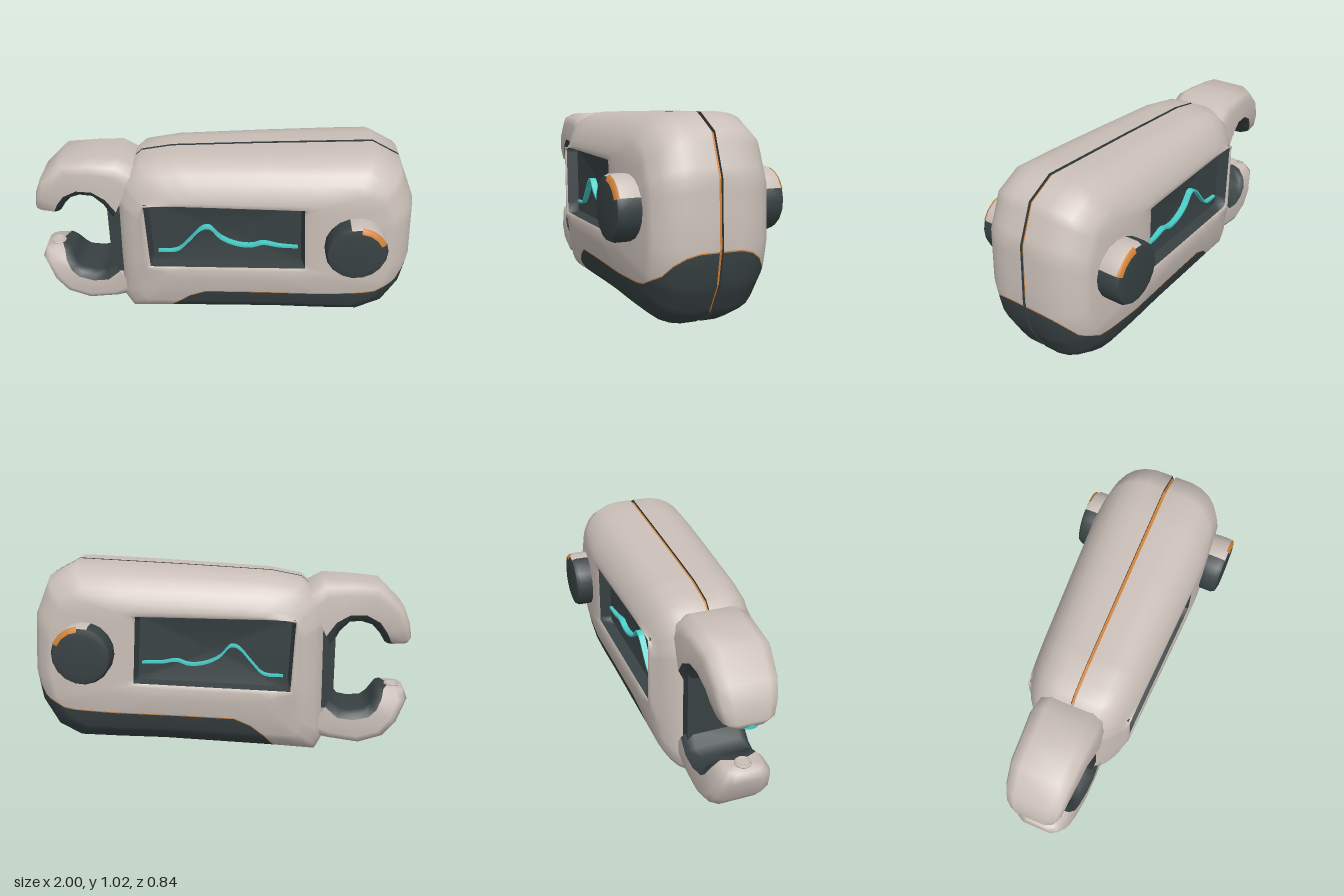
import * as THREE from 'three';

const mat = (name, color) => {
  const m = new THREE.MeshStandardMaterial({ color, side: THREE.DoubleSide });
  m.name = name;
  return m;
};

// Surface through rows of points; columns may wrap round
function loft(rows, closed = true, flat = false) {
  const n = rows[0].length, index = [];
  for (let i = 0; i < rows.length - 1; i++)
    for (let j = 0; j < (closed ? n : n - 1); j++) {
      const k = (j + 1) % n, a = i * n + j, b = i * n + k, c = a + n, d = b + n;
      index.push(a, b, c, b, d, c);
    }
  let g = new THREE.BufferGeometry().setFromPoints(rows.flat());
  g.setIndex(index);
  if (flat) g = g.toNonIndexed();
  g.computeVertexNormals();
  return g;
}

// Cut a surface along f = 0, giving [below, above]
function split(geometry, f) {
  const g = geometry.index ? geometry.toNonIndexed() : geometry;
  const P = g.attributes.position, N = g.attributes.normal;
  return [-1, 1].map(side => {
    const pos = [], nor = [];
    for (let t = 0; t < P.count; t += 3) {
      const poly = [], v = [0, 1, 2].map(k => {
        const p = new THREE.Vector3().fromBufferAttribute(P, t + k);
        return { p, n: new THREE.Vector3().fromBufferAttribute(N, t + k), f: f(p) * side };
      });
      v.forEach((a, k) => {
        const b = v[(k + 1) % 3];
        if (a.f >= 0) poly.push(a);
        if ((a.f >= 0) !== (b.f >= 0)) {
          const s = a.f / (a.f - b.f);
          poly.push({ p: a.p.clone().lerp(b.p, s), n: a.n.clone().lerp(b.n, s).normalize() });
        }
      });
      for (let k = 1; k + 1 < poly.length; k++)
        for (const q of [poly[0], poly[k], poly[k + 1]]) { pos.push(...q.p); nor.push(...q.n); }
    }
    const out = new THREE.BufferGeometry();
    out.setAttribute('position', new THREE.Float32BufferAttribute(pos, 3));
    out.setAttribute('normal', new THREE.Float32BufferAttribute(nor, 3));
    return out;
  });
}

// Mirror front to back, keeping faces outward
function mirrorZ(geometry) {
  const g = geometry.index ? geometry.toNonIndexed() : geometry.clone();
  g.scale(1, 1, -1);
  for (const a of Object.values(g.attributes)) {
    const s = a.itemSize, r = a.array;
    for (let t = 0; t < r.length; t += 3 * s)
      for (let k = 0; k < s; k++) [r[t + s + k], r[t + 2 * s + k]] = [r[t + 2 * s + k], r[t + s + k]];
  }
  return g;
}

const V = (x, y, z) => new THREE.Vector3(x, y, z);
const CENTRE = [0.03, 0.59];
const OUTLINE = [[-0.56, 0.08], [-0.52, 0], [-0.3, 0.015], [0.3, 0.05], [0.78, 0.06], [0.9, 0.13], [0.975, 0.28],
  [1, 0.45], [0.98, 0.76], [0.9, 0.95], [0.76, 1.025], [0.2, 1], [-0.26, 0.975], [-0.42, 0.945], [-0.51, 0.86], [-0.55, 0.75]];
const SCREEN = [[-0.39, 0.77], [-0.37, 0.39], [0.44, 0.43], [0.42, 0.785]];

// Where a ray from the screen centre meets a closed outline
function hit(poly, angle) {
  const dx = Math.cos(angle), dy = Math.sin(angle);
  let best = 0;
  poly.forEach(([ax, ay], i) => {
    const [bx, by] = poly[(i + 1) % poly.length];
    const ex = bx - ax, ey = by - ay, px = ax - CENTRE[0], py = ay - CENTRE[1];
    const den = dx * ey - dy * ex, r = (px * ey - py * ex) / den, u = (px * dy - py * dx) / den;
    if (u > -1e-6 && u < 1 + 1e-6 && r > best) best = r;
  });
  return [CENTRE[0] + dx * best, CENTRE[1] + dy * best];
}

const depthScale = (x, y) =>
  (0.85 + 0.15 * THREE.MathUtils.clamp((x + 0.5) / 1.05, 0, 1)) * (1 - 0.35 * Math.max(0, 0.35 - y));

// Upper edge of the dark grip, as height over x
const GRIP = [[-0.36, -0.1], [-0.31, 0.01], [-0.24, 0.12], [-0.17, 0.185], [-0.08, 0.23], [0.2, 0.245], [0.8, 0.27], [0.92, 0.33], [1.01, 0.45]];
function gripEdge(p) {
  let i = 0;
  while (i < GRIP.length - 2 && p.x > GRIP[i + 1][0]) i++;
  const [a, b] = [GRIP[i], GRIP[i + 1]];
  return p.y - (a[1] + (p.x - a[0]) / (b[0] - a[0]) * (b[1] - a[1]));
}

export function createModel() {
  const model = new THREE.Group();
  model.name = 'handheldClampMeter';
  const shell = mat('warm grey shell', 0xcabfb8), dark = mat('charcoal', 0x384143);
  const orange = mat('orange accent', 0xd08136), teal = mat('teal trace', 0x48cbc6);
  const add = (name, g, m) => {
    const mesh = new THREE.Mesh(g, m);
    mesh.name = name;
    model.add(mesh);
  };
  const both = (name, g, m) => { add(name + 'Front', g, m); add(name + 'Back', mirrorZ(g), m); };

  // Ray angles: all corners first, then even filling
  const angleOf = ([x, y]) => (Math.atan2(y - CENTRE[1], x - CENTRE[0]) + 2 * Math.PI) % (2 * Math.PI);
  const angles = [];
  for (const a of [...SCREEN.map(angleOf), ...OUTLINE.map(angleOf), ...Array.from({ length: 56 }, (_, i) => i * Math.PI / 28)])
    if (angles.every(b => Math.abs(a - b) > 0.035)) angles.push(a);
  angles.sort((a, b) => a - b);

  const outer = angles.map(a => hit(OUTLINE, a)), rim = angles.map(a => hit(SCREEN, a));
  const inset = ([x, y], d) => [0.22 + (x - 0.22) * (1 - d / 0.78), 0.51 + (y - 0.51) * (1 - d / 0.51)];
  const place = ([x, y], z) => V(x, y, z * depthScale(x, y));
  const ring = (d, z) => outer.map(p => place(inset(p, d), z));
  const edge = outer.map(p => inset(p, 0.13));
  const toRim = (t, z) => edge.map(([x, y], i) => place([x + (rim[i][0] - x) * t, y + (rim[i][1] - y) * t], z));

  // Body halves with grip and its accent line
  const half = loft([ring(0, 0.009), ring(0, 0.1), ring(0.01, 0.16), ring(0.03, 0.21), ring(0.06, 0.25),
    ring(0.1, 0.282), ring(0.13, 0.298), toRim(0.35, 0.314), toRim(0.7, 0.322), toRim(0.92, 0.322), toRim(1, 0.312)]);
  const [grip, rest] = split(half, gripEdge);
  const [line, body] = split(rest, p => gripEdge(p) - 0.005);
  both('bodyShell', body, shell);
  both('grip', grip, dark);
  both('gripLine', line, orange);

  // Centre groove with accent core
  both('grooveWall', loft([ring(0.02, 0.009), ring(0, 0.009)]), dark);
  const core = new THREE.Shape(outer.map(p => new THREE.Vector2(...inset(p, 0.013))));
  add('seamCore', new THREE.ExtrudeGeometry(core, { depth: 0.016, bevelEnabled: false }).translate(0, 0, -0.008), orange);

  // Recessed screens
  const dish = (s, drop) => rim.map(([x, y]) => {
    const p = place([CENTRE[0] + (x - CENTRE[0]) * s, CENTRE[1] + (y - CENTRE[1]) * s], 0.312);
    p.z -= drop;
    return p;
  });
  both('screenWall', loft([dish(1, 0), dish(0.96, 0.06)]), dark);
  both('screenFloor', loft([dish(0.96, 0.06), dish(0.5, 0.075), dish(0, 0.08)]), dark);

  // Waveform ribbon
  const wave = new THREE.CatmullRomCurve3([[-0.33, 0.46], [-0.23, 0.47], [-0.17, 0.53], [-0.1, 0.61], [-0.06, 0.62], [0, 0.56],
    [0.08, 0.525], [0.16, 0.52], [0.22, 0.54], [0.3, 0.53], [0.4, 0.53]].map(([x, y]) => V(x, y, 0)));
  both('waveform', loft(wave.getPoints(44).map(({ x, y }) => {
    const z = 0.312 * depthScale(x, y) - 0.08;
    return [[1, 0], [1, 0.035], [-1, 0.035], [-1, 0]].map(([s, dz]) => V(x, y + s * 0.006, z + dz));
  }), true, true), teal);

  // Knobs: dark rim, pale sector and accent arc
  const turned = (profile, from, to, sides) => new THREE.LatheGeometry(profile.map(p => new THREE.Vector2(...p)), sides,
    THREE.MathUtils.degToRad(from + 90), THREE.MathUtils.degToRad(to - from)).rotateX(Math.PI / 2).translate(0.683, 0.603, 0);
  const knobSide = [[0.148, 0.26], [0.155, 0.33], [0.155, 0.39], [0.145, 0.41]];
  both('knobSide', turned(knobSide, 105, 385, 14), dark);
  both('knobPaleSector', turned(knobSide, 25, 105, 4), shell);
  both('knobCap', turned([[0.145, 0.41], [0.11, 0.419], [0, 0.42]], 25, 385, 18), dark);
  both('knobArc', turned([[0.154, 0.4], [0.147, 0.412], [0.128, 0.418]], 25, 85, 3), orange);

  // Jaws: sections from inner to outer edge [ix, iy, ox, oy, half width]
  const upper = [[-0.93, 0.605, -0.93, 0.605, 0], [-0.875, 0.605, -0.99, 0.61, 0.09], [-0.86, 0.62, -1, 0.64, 0.125],
    [-0.83, 0.67, -0.985, 0.72, 0.145], [-0.79, 0.715, -0.95, 0.81, 0.155], [-0.73, 0.735, -0.83, 0.93, 0.165],
    [-0.67, 0.73, -0.67, 0.945, 0.17], [-0.62, 0.68, -0.53, 0.95, 0.18], [-0.58, 0.6, -0.44, 0.9, 0.18]];
  const lower = [[-0.91, 0.355, -0.91, 0.355, 0], [-0.84, 0.355, -0.985, 0.345, 0.09], [-0.82, 0.31, -1, 0.3, 0.13],
    [-0.8, 0.275, -0.95, 0.17, 0.15], [-0.77, 0.25, -0.88, 0.085, 0.155], [-0.7, 0.24, -0.75, 0.045, 0.165],
    [-0.64, 0.25, -0.58, 0.07, 0.17], [-0.59, 0.32, -0.45, 0.1, 0.17]].reverse();
  const outerSide = [[0.22, -1], [0.7, -1], [0.88, -0.9], [1, -0.6], [1, 0.6], [0.88, 0.9], [0.7, 1], [0.22, 1]];
  const innerSide = [[0.22, 1], [0.08, 0.9], [0, 0.7], [0, -0.7], [0.08, -0.9], [0.22, -1]];
  const jaw = (stations, section) => loft(stations.map(([ix, iy, ox, oy, w]) =>
    section.map(([u, z]) => V(ix + (ox - ix) * u, iy + (oy - iy) * u, z * w))), false);
  for (const [name, stations] of [['upperJaw', upper], ['lowerJaw', lower]]) {
    add(name, jaw(stations, outerSide), shell);
    add(name + 'Lining', jaw(stations, innerSide), dark);
  }
  add('jawBackLining', new THREE.BoxGeometry(0.1, 0.46, 0.3).translate(-0.55, 0.49, 0), dark);

  // Contact pads on the jaw tips
  const pad = (r, h, x, y) => new THREE.CylinderGeometry(r, r, h, 20).translate(x, y, 0);
  add('upperContactRing', pad(0.05, 0.018, -0.945, 0.608), teal);
  add('upperContact', pad(0.042, 0.012, -0.945, 0.602), dark);
  add('lowerContactRing', new THREE.TorusGeometry(0.035, 0.007, 6, 20).rotateX(Math.PI / 2).translate(-0.925, 0.355, 0), shell);
  add('lowerContact', pad(0.032, 0.008, -0.925, 0.353), shell);

  return model;
}
